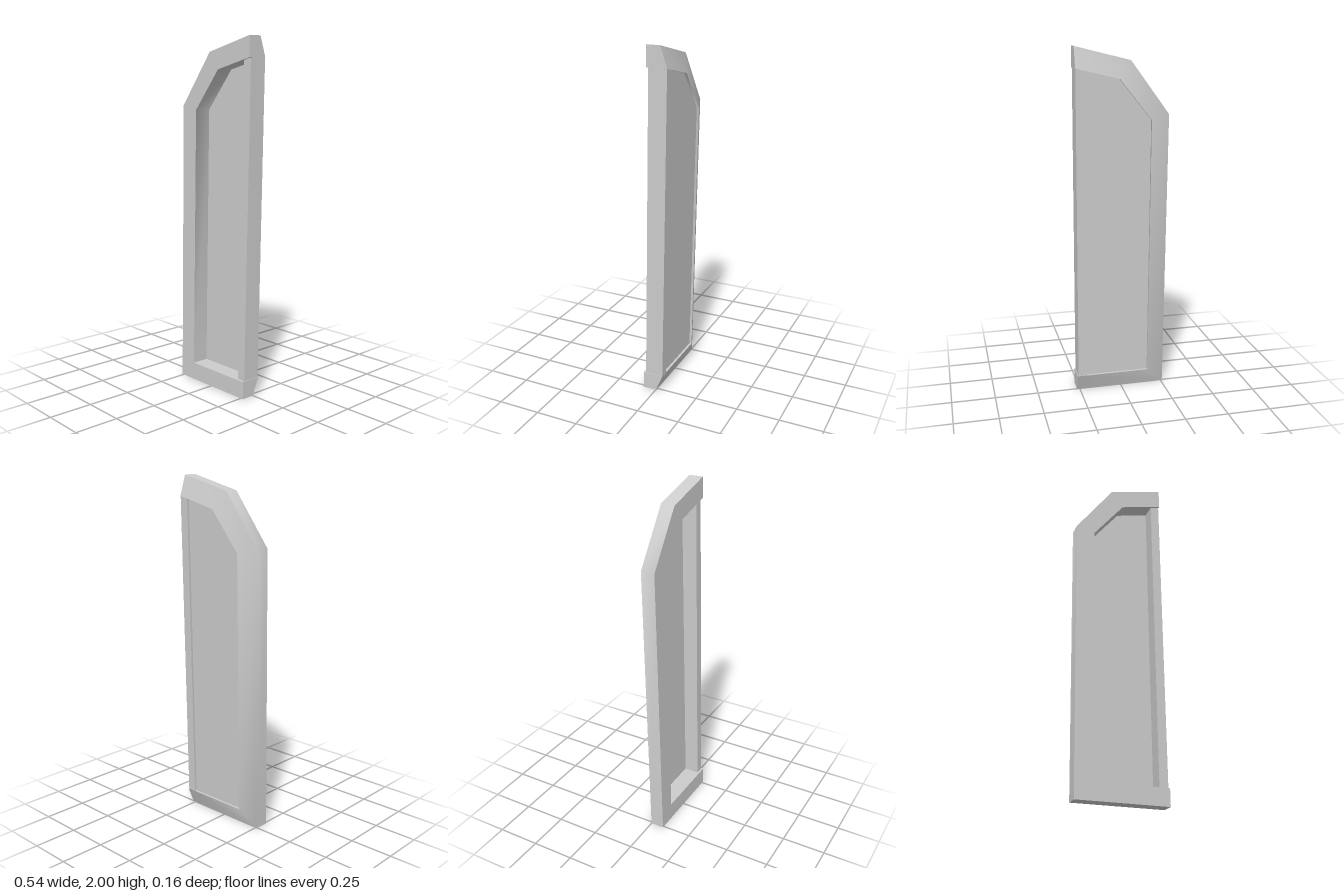
import * as THREE from 'three';
import { toCreasedNormals } from 'three/addons/utils/BufferGeometryUtils.js';

const material = new THREE.MeshStandardMaterial({ color: 0xcccccc });

// The whole leaf leans back slightly: z of the front plane at height y
const frontZ = (y) => 0.079 - 0.021 * y;

// Frame path, from the lower free end round to the upper free end
const outer = [[0.267, 0], [-0.26, 0], [-0.27, 1.625], [-0.05, 1.922], [0.264, 2]];
const inner = [[0.267, 0.1], [-0.155, 0.1], [-0.16, 1.6], [0.02, 1.825], [0.264, 1.885]];

// Sweep a four-sided section, thicker at its inner edge, along the path
function frameGeometry() {
  const positions = [], index = [];
  outer.forEach(([ox, oy], i) => {
    const [ix, iy] = inner[i];
    positions.push(
      ox, oy, frontZ(oy),
      ix, iy, frontZ(iy),
      ix, iy, frontZ(iy) - 0.12,
      ox, oy, frontZ(oy) - 0.08,
    );
  });
  for (let i = 0; i < outer.length - 1; i++) {
    for (let j = 0; j < 4; j++) {
      const a = i * 4 + j, b = i * 4 + (j + 1) % 4;
      index.push(a, b, b + 4, a, b + 4, a + 4);
    }
  }
  // End caps
  const e = (outer.length - 1) * 4;
  index.push(0, 2, 1, 0, 3, 2, e, e + 1, e + 2, e, e + 2, e + 3);
  const geometry = new THREE.BufferGeometry();
  geometry.setAttribute('position', new THREE.Float32BufferAttribute(positions, 3));
  geometry.setIndex(index);
  return toCreasedNormals(geometry, 0.75);
}

// Extrude an outline and lean it with the front plane
function leaningSlab(points, front, back) {
  const shape = new THREE.Shape(points.map(([x, y]) => new THREE.Vector2(x, y)));
  const geometry = new THREE.ExtrudeGeometry(shape, { depth: front - back, bevelEnabled: false });
  const p = geometry.attributes.position;
  for (let i = 0; i < p.count; i++) p.setZ(i, p.getZ(i) + back + frontZ(p.getY(i)));
  geometry.computeVertexNormals();
  return geometry;
}

export function createModel() {
  const group = new THREE.Group();
  const add = (name, geometry) => {
    const mesh = new THREE.Mesh(geometry, material);
    mesh.name = name;
    group.add(mesh);
  };

  add('frame', frameGeometry());

  // Upright on the meeting side, set back from the frame front
  add('meetingStile', leaningSlab(
    [[0.212, 0.098], [0.263, 0.098], [0.263, 1.886], [0.212, 1.874]], -0.013, -0.119));

  // Thin panel near the back of the opening
  add('panel', leaningSlab(
    [[-0.157, 0.098], [0.215, 0.098], [0.215, 1.874], [0.019, 1.827], [-0.162, 1.6]], -0.1, -0.106));

  return group;
}
